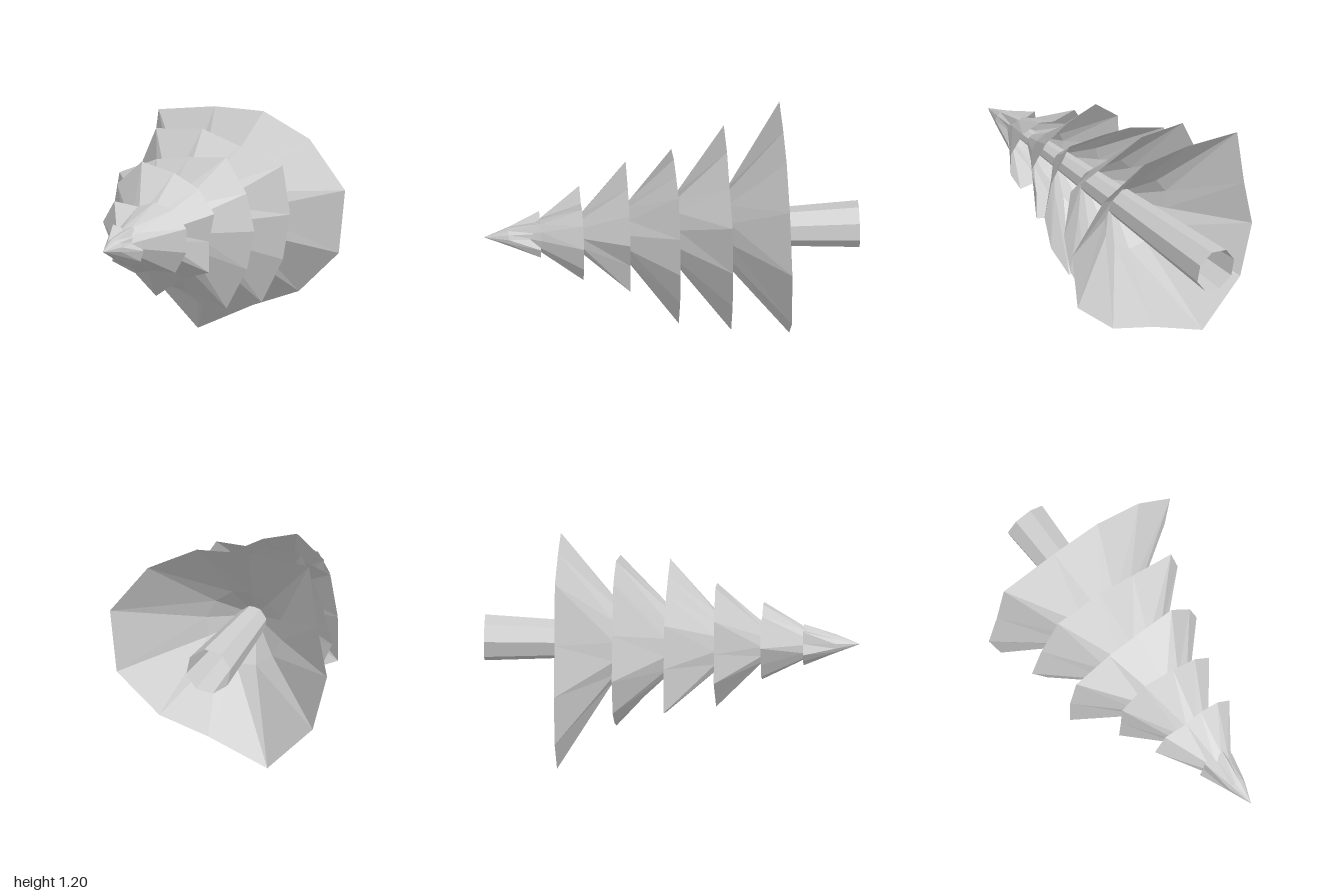
import * as THREE from 'three';

const AX = -0.05, AY = 0.67; // trunk axis, running along z
const SIDES = 12;

// Foliage tiers from tip to base. The rim has twelve corners, 30 degrees apart,
// clockwise from the start angle, each with its own radius.
const TIERS = [
  { z: 0.7, midZ: 0.87, midR: 0.05, endZ: 1, endR: 0, start: 131,
    radii: [0.13, 0.08, 0.1, 0.07, 0.06, 0.1, 0.12, 0.12, 0.12, 0.11, 0.12, 0.1] },
  { z: 0.48, midZ: 0.7, midR: 0.09, endZ: 0.8, endR: 0.03, start: 135,
    radii: [0.26, 0.17, 0.2, 0.23, 0.25, 0.25, 0.25, 0.18, 0.2, 0.2, 0.2, 0.26] },
  { z: 0.235, midZ: 0.48, midR: 0.11, endZ: 0.6, endR: 0.04, start: 111,
    radii: [0.39, 0.32, 0.31, 0.31, 0.26, 0.33, 0.27, 0.36, 0.3, 0.33, 0.3, 0.37] },
  { z: -0.025, midZ: 0.235, midR: 0.16, endZ: 0.36, endR: 0.05, start: 58,
    radii: [0.44, 0.4, 0.4, 0.42, 0.5, 0.36, 0.39, 0.5, 0.44, 0.47, 0.38, 0.36] },
  { z: -0.3, midZ: -0.025, midR: 0.19, endZ: 0.11, endR: 0.06, start: 125,
    radii: [0.55, 0.47, 0.43, 0.53, 0.48, 0.48, 0.54, 0.52, 0.45, 0.47, 0.49, 0.47] },
  { z: -0.605, midZ: -0.3, midR: 0.21, endZ: -0.15, endR: 0.07, start: 132,
    radii: [0.67, 0.55, 0.56, 0.6, 0.67, 0.65, 0.57, 0.53, 0.7, 0.63, 0.56, 0.52] },
];

// Open skirt: rim, round shoulder and inner end joined in two bands
function tierGeometry({ z, midZ, midR, endZ, endR, start, radii }) {
  const pos = [], index = [];
  radii.forEach((rimR, i) => {
    const a = THREE.MathUtils.degToRad(start - i * 360 / SIDES);
    for (const [r, depth] of [[rimR, z], [midR, midZ], [endR, endZ]]) {
      pos.push(AX + r * Math.cos(a), AY + r * Math.sin(a), depth);
    }
    const here = 3 * i, next = 3 * ((i + 1) % SIDES);
    for (let k = 0; k < 2; k++) {
      index.push(here + k, here + k + 1, next + k);
      if (k === 0 || endR > 0) index.push(next + k, here + k + 1, next + k + 1);
    }
  });
  const g = new THREE.BufferGeometry();
  g.setAttribute('position', new THREE.Float32BufferAttribute(pos, 3));
  g.setIndex(index);
  const flat = g.toNonIndexed();
  flat.computeVertexNormals();
  return flat;
}

export function createModel() {
  const grey = new THREE.MeshStandardMaterial({ color: 0xcccccc, side: THREE.DoubleSide, flatShading: true });
  grey.name = 'grey';
  const tree = new THREE.Group();
  tree.name = 'tree';

  // Tapered hollow trunk, lying along z
  const trunkGeo = new THREE.CylinderGeometry(0.035, 0.125, 1.75, 8, 1, true);
  trunkGeo.rotateY(Math.PI / 8 + 0.2).rotateX(Math.PI / 2);
  const trunk = new THREE.Mesh(trunkGeo, grey);
  trunk.name = 'trunk';
  trunk.position.set(AX - 0.005, AY - 0.003, -0.125);
  tree.add(trunk);

  // Stacked foliage skirts
  TIERS.forEach((tier, i) => {
    const mesh = new THREE.Mesh(tierGeometry(tier), grey);
    mesh.name = i === 0 ? 'treeTip' : 'foliageTier' + i;
    tree.add(mesh);
  });
  return tree;
}
